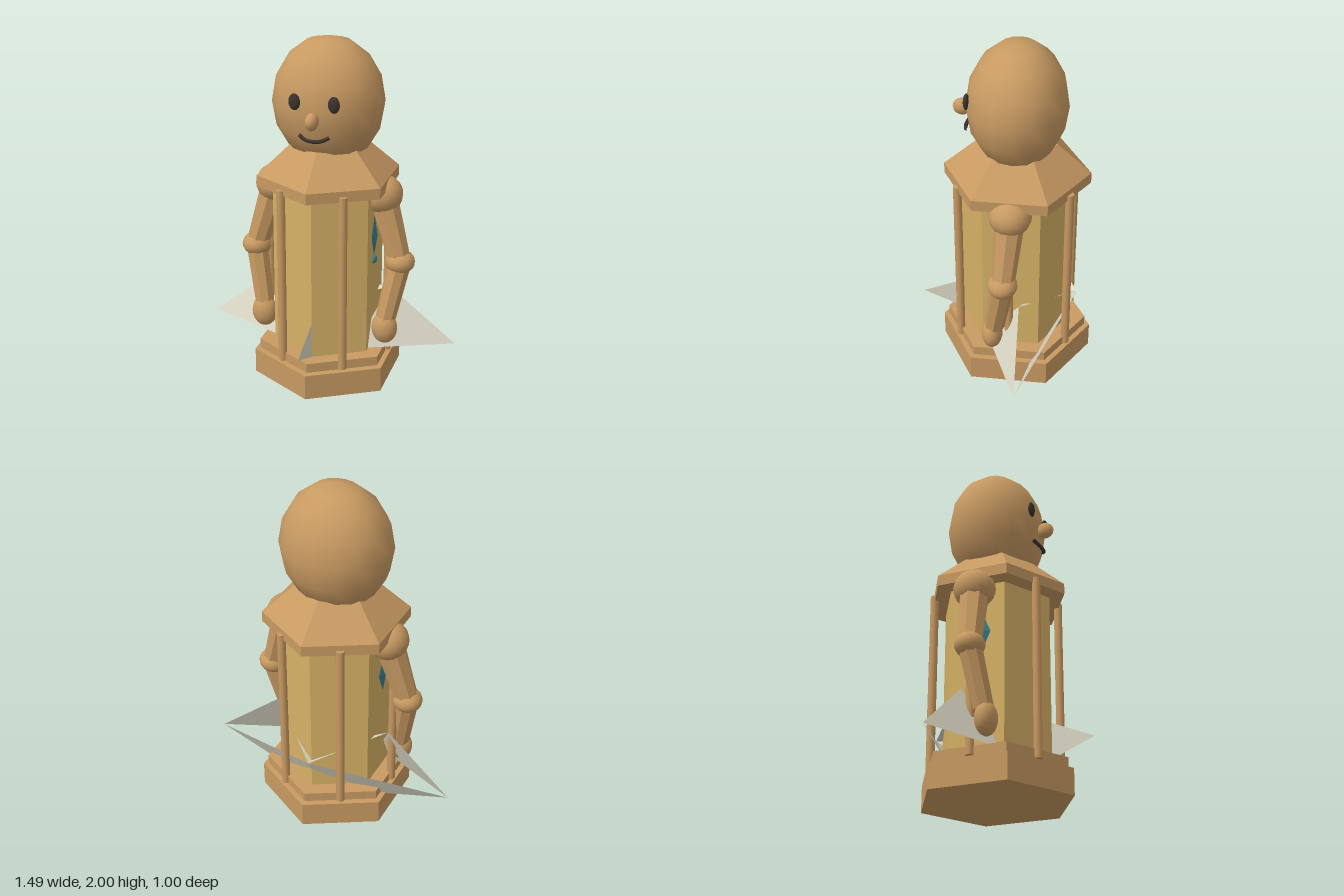
import * as THREE from 'three';

const mat = (name, color, side = THREE.FrontSide) => {
  const m = new THREE.MeshStandardMaterial({ color, side });
  m.name = name;
  return m;
};

export function createModel() {
  const model = new THREE.Group();
  model.name = 'lanternFigure';
  const wood = mat('wood', 0xc89a62);
  const glow = mat('paleGold', 0xd6b166);
  const paper = mat('paper', 0xdcd8c6, THREE.DoubleSide);
  const teal = mat('teal', 0x35808a);
  const dark = mat('darkBrown', 0x3c332e);
  const CZ = -0.06; // centre line of the lantern

  const add = (name, geo, material, x = 0, y = 0, z = 0) => {
    const m = new THREE.Mesh(geo, material);
    m.name = name;
    m.position.set(x, y, z);
    model.add(m);
    return m;
  };
  const faceted = (geo) => {
    const g = geo.index ? geo.toNonIndexed() : geo;
    g.computeVertexNormals();
    return g;
  };
  const hex = (name, rTop, rBottom, y0, y1, material) =>
    add(name, faceted(new THREE.CylinderGeometry(rTop, rBottom, y1 - y0, 6)), material, 0, (y0 + y1) / 2, CZ);
  const ball = (name, material, p, r, ws = 16, hs = 12) => {
    const m = add(name, new THREE.SphereGeometry(1, ws, hs), material, ...p);
    m.scale.set(...r);
    return m;
  };
  // Tapered limb between two points
  const limb = (name, a, b, ra, rb) => {
    const p = new THREE.Vector3(...a), q = new THREE.Vector3(...b);
    const dir = p.clone().sub(q);
    const m = add(name, faceted(new THREE.CylinderGeometry(ra, rb, dir.length(), 8)), wood);
    m.position.copy(p).add(q).multiplyScalar(0.5);
    m.quaternion.setFromUnitVectors(new THREE.Vector3(0, 1, 0), dir.normalize());
  };
  const sheet = (name, ...pts) => {
    const g = new THREE.BufferGeometry();
    g.setAttribute('position', new THREE.Float32BufferAttribute(pts.flat(), 3));
    g.computeVertexNormals();
    add(name, g, paper);
  };

  // Lantern body
  hex('base', 0.44, 0.44, 0, 0.148, wood);
  hex('plinth', 0.41, 0.41, 0.155, 0.21, wood);
  hex('lanternBody', 0.32, 0.32, 0.2, 1.162, glow);
  hex('roofPlate', 0.41, 0.41, 1.17, 1.232, wood);
  hex('roof', 0.22, 0.41, 1.232, 1.4, wood);

  // Posts at the middle of each side
  for (let i = 0; i < 6; i++) {
    const a = Math.PI / 6 + (i * Math.PI) / 3;
    add('post', new THREE.CylinderGeometry(0.024, 0.024, 1.04, 10), wood,
      0.355 * Math.sin(a), 0.68, CZ + 0.355 * Math.cos(a));
  }

  // Head and face
  ball('head', wood, [0, 1.64, CZ], [0.317, 0.36, 0.278], 16, 8);
  ball('nose', wood, [0, 1.6, 0.24], [0.037, 0.048, 0.052], 12, 8);
  const smile = new THREE.CatmullRomCurve3([
    [-0.083, 1.507, 0.196], [-0.045, 1.49, 0.215], [0, 1.485, 0.222],
    [0.045, 1.49, 0.215], [0.083, 1.507, 0.196],
  ].map((p) => new THREE.Vector3(...p)));
  add('mouth', new THREE.TubeGeometry(smile, 12, 0.011, 6), dark);

  for (const s of [1, -1]) {
    const side = s > 0 ? 'left' : 'right';
    ball(side + 'Eye', dark, [s * 0.11, 1.69, 0.2], [0.033, 0.046, 0.017], 12, 8);

    // Arm
    const shoulder = [s * 0.315, 1.125, CZ];
    const elbow = [s * 0.43, 0.74, -0.033];
    const wrist = [s * 0.368, 0.4, 0.022];
    ball(side + 'Shoulder', wood, shoulder, [0.115, 0.11, 0.118]);
    limb(side + 'UpperArm', shoulder, elbow, 0.085, 0.065);
    ball(side + 'Elbow', wood, elbow, [0.086, 0.07, 0.083]);
    limb(side + 'Forearm', elbow, wrist, 0.067, 0.058);
    ball(side + 'Hand', wood, [s * 0.365, 0.345, 0.035], [0.075, 0.095, 0.06]);

    // Folded paper wings
    const tip = [s * 0.745, 0.215, -0.135];
    const peak = [s * 0.355, 0.535, -0.115];
    const back = [0, 0.4, -0.42];
    sheet(side + 'FrontWing', tip, peak, [s * 0.2, 0.215, 0.1]);
    sheet(side + 'BackWing', tip, back, [0, 0.06, -0.23]);
    sheet(side + 'InnerFold', peak, back, [0, 0.36, -0.18]);

    // Side ornament
    const gem = add(side + 'Gem', faceted(new THREE.OctahedronGeometry(1)), teal, s * 0.278, 0.88, -0.035);
    gem.scale.set(0.019, 0.125, 0.055);
  }
  ball('gemDrop', teal, [0.277, 0.735, -0.03], [0.02, 0.026, 0.024], 12, 8);
  sheet('frontFold', [0, 0.31, 0.5], [0, 0.435, 0.21], [0, 0.19, 0.21]);
  return model;
}
